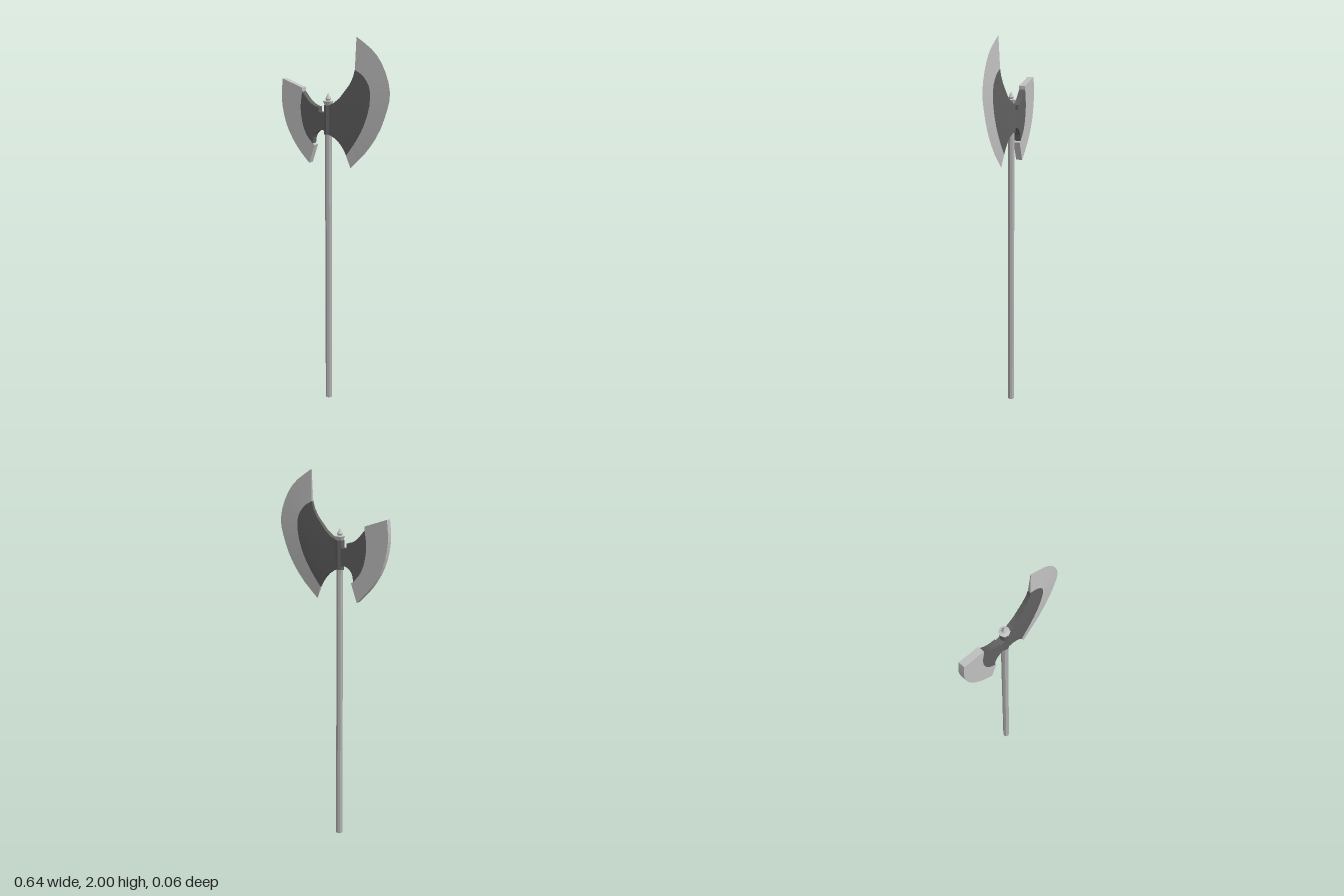
import * as THREE from 'three';

const STEPS = 16;
const AXIS = -0.041; // x of the shaft

const mat = (name, color) => {
  const m = new THREE.MeshStandardMaterial({ color, flatShading: true });
  m.name = name;
  return m;
};

// Smooth run of points through a few [x, y] pairs
const curve = (pts, n = STEPS) =>
  new THREE.SplineCurve(pts.map(p => new THREE.Vector2(...p))).getPoints(n);

// Wedge built from columns of points (top to bottom), each with a half thickness
function wedge(columns) {
  const pos = [];
  const quad = (a, b, c, d) => [a, b, c, a, c, d].forEach(p => pos.push(...p));
  const at = (i, j, s) => [columns[i].pts[j].x, columns[i].pts[j].y, s * columns[i].half];
  for (let i = 0; i < columns.length - 1; i++) {
    for (let j = 0; j < STEPS; j++) {
      quad(at(i, j, 1), at(i, j + 1, 1), at(i + 1, j + 1, 1), at(i + 1, j, 1));
      quad(at(i, j, -1), at(i + 1, j, -1), at(i + 1, j + 1, -1), at(i, j + 1, -1));
    }
    quad(at(i, 0, 1), at(i + 1, 0, 1), at(i + 1, 0, -1), at(i, 0, -1));
    quad(at(i, STEPS, 1), at(i, STEPS, -1), at(i + 1, STEPS, -1), at(i + 1, STEPS, 1));
  }
  const g = new THREE.BufferGeometry();
  g.setAttribute('position', new THREE.Float32BufferAttribute(pos, 3));
  g.computeVertexNormals();
  return g;
}

// Flat plate of even thickness, centred on z = 0
function plate(points, half) {
  const g = new THREE.ExtrudeGeometry(new THREE.Shape(points), { depth: half * 2, bevelEnabled: false });
  return g.translate(0, 0, -half);
}

export function createModel() {
  const group = new THREE.Group();
  group.name = 'axe';
  const edgeSteel = mat('light steel', 0xc0c0c0);
  const darkSteel = mat('dark steel', 0x606060);
  const shaftGrey = mat('shaft grey', 0xb0b0b0);
  const add = (name, geometry, material) => {
    const m = new THREE.Mesh(geometry, material);
    m.name = name;
    group.add(m);
    return m;
  };

  // Shaft and the dark socket around its top
  add('shaft', new THREE.CylinderGeometry(0.018, 0.018, 1.6, 8), shaftGrey).position.set(AXIS, 0.8, 0);
  add('socket', new THREE.CylinderGeometry(0.023, 0.023, 0.15, 8), darkSteel).position.set(AXIS, 1.58, 0);

  // Finial: flared rim with a small spike
  const finial = [[0, 1.65], [0.018, 1.655], [0.028, 1.675], [0.01, 1.678], [0.015, 1.688], [0, 1.715]];
  add('finial', new THREE.LatheGeometry(finial.map(p => new THREE.Vector2(...p)), 8), edgeSteel)
    .position.x = AXIS;

  // Large blade: dark cheek growing from the socket, then the light cutting edge
  const border = curve([[0.12, 1.84], [0.167, 1.812], [0.204, 1.755], [0.205, 1.67], [0.177, 1.575], [0.132, 1.49], [0.071, 1.405]]);
  const rim = curve([[0.124, 2], [0.22, 1.935], [0.28, 1.855], [0.315, 1.745], [0.3, 1.65], [0.255, 1.535], [0.183, 1.43], [0.093, 1.34]]);
  const n = 6;
  const tops = curve([[-0.03, 1.655], [0.02, 1.682], [0.062, 1.73], [0.103, 1.785], [0.12, 1.84]], n);
  const bottoms = curve([[-0.03, 1.505], [0.012, 1.487], [0.043, 1.455], [0.06, 1.43], [0.071, 1.405]], n);
  const cheek = tops.map((top, i) => ({
    half: THREE.MathUtils.lerp(0.017, 0.008, i / n),
    pts: border.map((p, j) => {
      const chord = border[0].clone().lerp(border[STEPS], j / STEPS);
      const bulge = p.clone().sub(chord).multiplyScalar(i / n);
      return top.clone().lerp(bottoms[i], j / STEPS).add(bulge);
    }),
  }));
  add('largeBladeCheek', wedge(cheek), darkSteel);
  add('largeBladeEdge', wedge([cheek[n], { pts: rim, half: 0.0008 }]), edgeSteel);

  // Small blade: even thickness, blunt outer edge
  const smallBorder = curve([[-0.19, 1.715], [-0.201, 1.64], [-0.193, 1.565], [-0.17, 1.5], [-0.128, 1.45]], 10);
  const smallRim = curve([[-0.15, 1.345], [-0.23, 1.43], [-0.293, 1.54], [-0.32, 1.665], [-0.312, 1.775]], 12);
  const upper = curve([[-0.09, 1.643], [-0.115, 1.648], [-0.15, 1.67], [-0.19, 1.715]], 8);
  const lower = curve([[-0.128, 1.45], [-0.12, 1.492], [-0.09, 1.522], [-0.05, 1.525]], 8);
  const v = (x, y) => new THREE.Vector2(x, y);
  add('smallBladeCheek', plate(
    [v(-0.05, 1.617), v(-0.09, 1.617), ...upper, ...smallBorder.slice(1), ...lower.slice(1)], 0.017), darkSteel);
  add('smallBladeEdge', plate(
    [...smallBorder, v(-0.116, 1.443), ...smallRim, v(-0.19, 1.735)], 0.0172), edgeSteel);

  return group;
}
